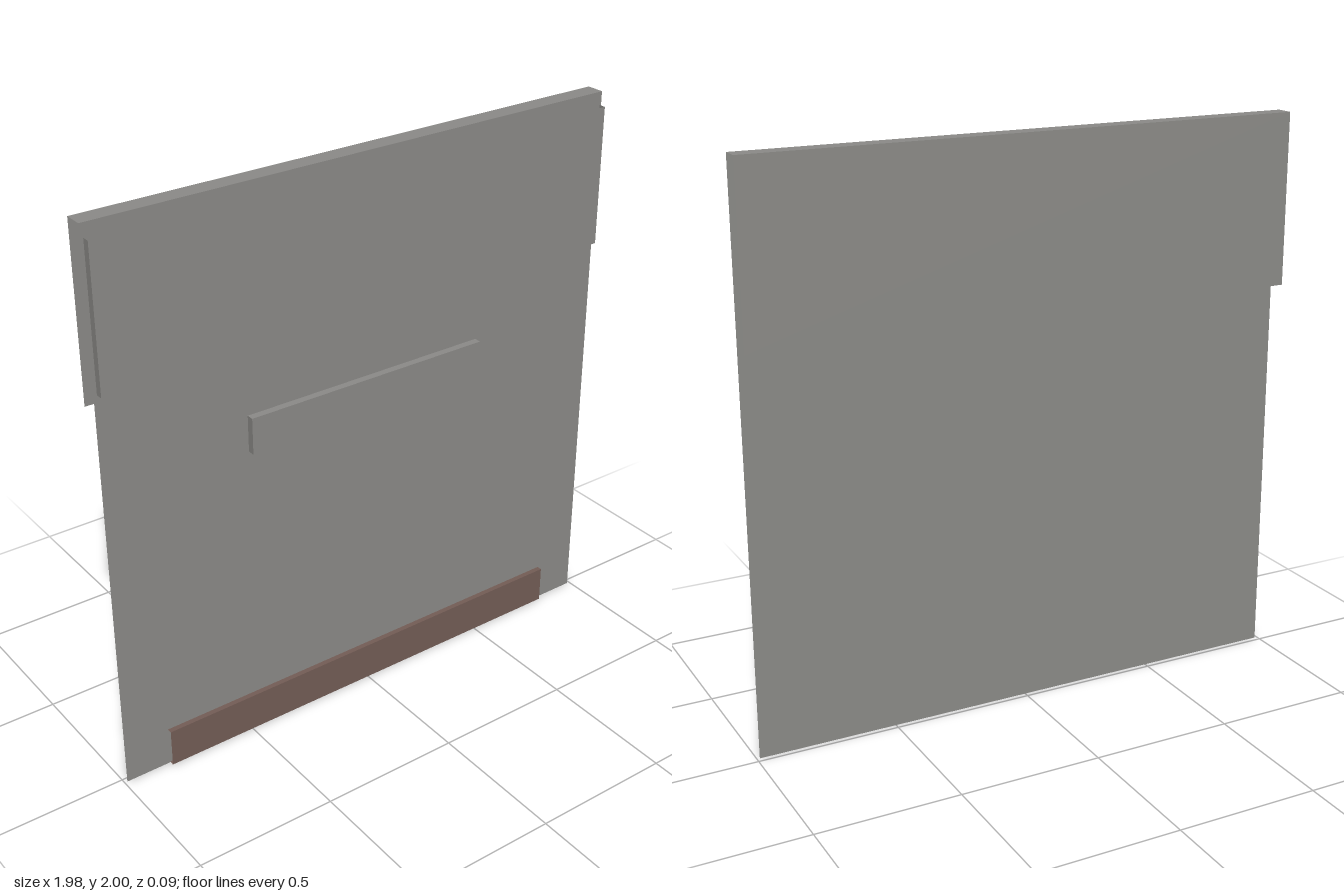
import * as THREE from 'three';

const SIDES = ['+x', '-x', '+y', '-y', '+z', '-z'];

// Sheet-metal box keeping only the listed sides
function foldedSheet(name, material, [x0, x1], [y0, y1], [z0, z1], keep) {
  const geometry = new THREE.BoxGeometry(x1 - x0, y1 - y0, z1 - z0);
  const all = Array.from(geometry.index.array);
  geometry.setIndex(keep.flatMap((side) => {
    const start = SIDES.indexOf(side) * 6;
    return all.slice(start, start + 6);
  }));
  geometry.clearGroups();
  geometry.translate((x0 + x1) / 2, (y0 + y1) / 2, (z0 + z1) / 2);
  const mesh = new THREE.Mesh(geometry, material);
  mesh.name = name;
  return mesh;
}

export function createModel() {
  const grey = new THREE.MeshStandardMaterial({ color: 0x8c8b88, side: THREE.DoubleSide });
  grey.name = 'warm grey';
  const brown = new THREE.MeshStandardMaterial({ color: 0x745d56, side: THREE.DoubleSide });
  brown.name = 'rust brown';

  const group = new THREE.Group();
  group.name = 'panel';
  const back = -0.047, face = 0.018, front = 0.047;

  group.add(
    // Full-height sheet, folded over the top into a short rear flap
    foldedSheet('frontSheet', grey, [-0.99, 0.99], [0, 2], [back, face], ['+z']),
    foldedSheet('topAndRearFlap', grey, [-0.99, 0.99], [1.395, 2], [back, face], ['+y', '-z']),
    // Raised upper panel, open at top and bottom
    foldedSheet('upperPanel', grey, [-0.98, 0.98], [1.46, 1.955], [0.021, front], ['+x', '-x', '+z']),
    // Raised bar in the middle
    foldedSheet('middleBar', grey, [-0.465, 0.465], [1.095, 1.225], [0.021, front], ['+x', '-x', '+y', '-y', '+z']),
    // Kick strip along the foot, open at the ends
    foldedSheet('kickStrip', brown, [-0.825, 0.825], [0.004, 0.142], [0.019, 0.038], ['+y', '-y', '+z']),
  );
  return group;
}
